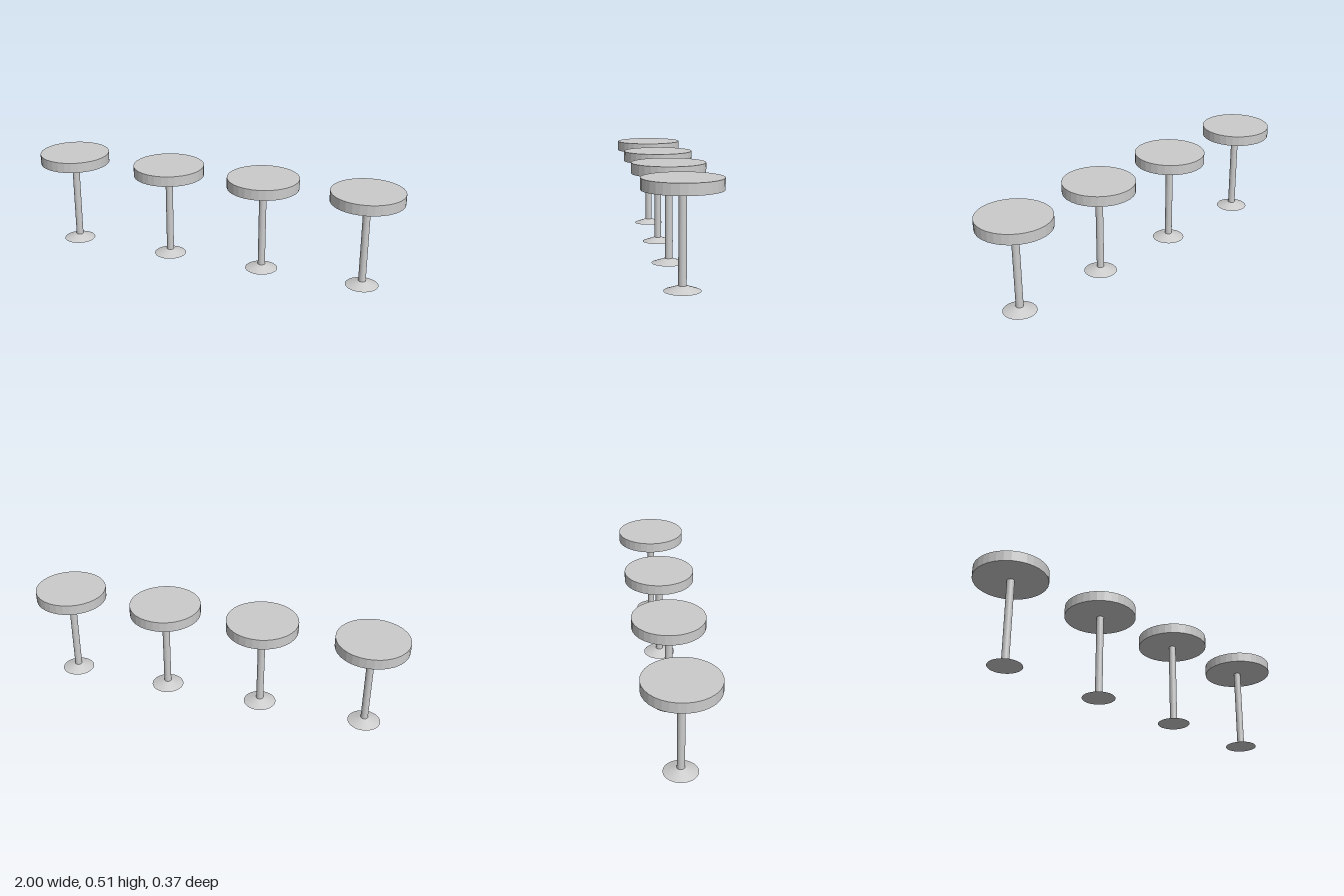
import * as THREE from 'three';

const SIDES = 32;
const material = new THREE.MeshStandardMaterial({ color: 0xcccccc, flatShading: true });

// Round part standing between two heights
function roundPart(name, topRadius, bottomRadius, y0, y1) {
  const geometry = new THREE.CylinderGeometry(topRadius, bottomRadius, y1 - y0, SIDES);
  const mesh = new THREE.Mesh(geometry, material);
  mesh.name = name;
  mesh.position.y = (y0 + y1) / 2;
  return mesh;
}

function createStool() {
  const stool = new THREE.Group();
  stool.add(
    roundPart('base', 0.019, 0.085, 0, 0.024),
    roundPart('post', 0.019, 0.019, 0.024, 0.455),
    roundPart('seat', 0.186, 0.186, 0.455, 0.509)
  );
  return stool;
}

export function createModel() {
  const model = new THREE.Group();
  model.name = 'stoolRow';
  // Four stools in a slightly uneven row
  [-0.814, -0.25, 0.275, 0.814].forEach((x, i) => {
    const stool = createStool();
    stool.name = `stool${i + 1}`;
    stool.position.x = x;
    model.add(stool);
  });
  return model;
}
